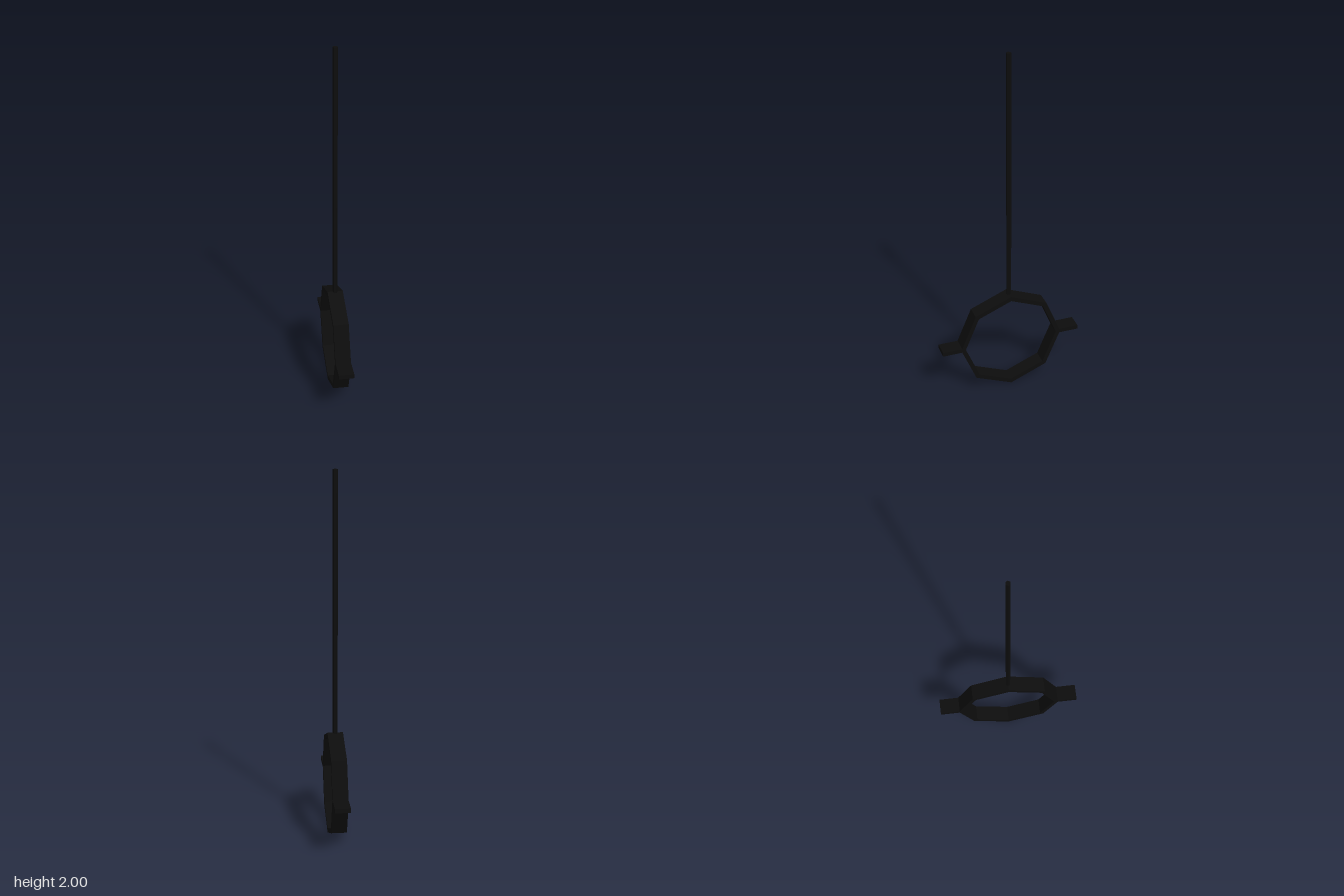
import * as THREE from 'three';

const R_OUT = 0.291, R_IN = 0.265, WIDTH = 0.084, CENTER_Y = 0.291;

// Octagon with a corner at the top
function octagon(target, r) {
  for (let i = 0; i < 8; i++) {
    const a = (i * Math.PI) / 4;
    target[i ? 'lineTo' : 'moveTo'](r * Math.cos(a), r * Math.sin(a));
  }
  target.closePath();
  return target;
}

export function createModel() {
  const group = new THREE.Group();
  const black = new THREE.MeshStandardMaterial({ color: 0x0d0d0d, flatShading: true });
  black.name = 'black';

  const add = (name, geometry, x, y, z) => {
    const mesh = new THREE.Mesh(geometry, black);
    mesh.name = name;
    mesh.position.set(x, y, z);
    group.add(mesh);
    return mesh;
  };

  // Eight-sided band, open along x
  const shape = octagon(new THREE.Shape(), R_OUT);
  shape.holes.push(octagon(new THREE.Path(), R_IN));
  const band = new THREE.ExtrudeGeometry(shape, { depth: WIDTH, bevelEnabled: false });
  band.translate(0, 0, -WIDTH / 2);
  band.rotateY(Math.PI / 2);
  add('ring', band, 0, CENTER_Y, 0);

  // Flat tabs at the front and back of the ring
  for (const s of [1, -1]) {
    const name = s > 0 ? 'frontTab' : 'backTab';
    add(name, new THREE.BoxGeometry(WIDTH, 0.024, 0.121), 0, CENTER_Y, s * 0.3355);
  }

  // Slim six-sided rod rising from the top corner
  const rod = new THREE.CylinderGeometry(0.0135, 0.0135, 1.43, 6);
  rod.rotateY(Math.PI / 6);
  add('rod', rod, 0, 1.285, 0);

  return group;
}
